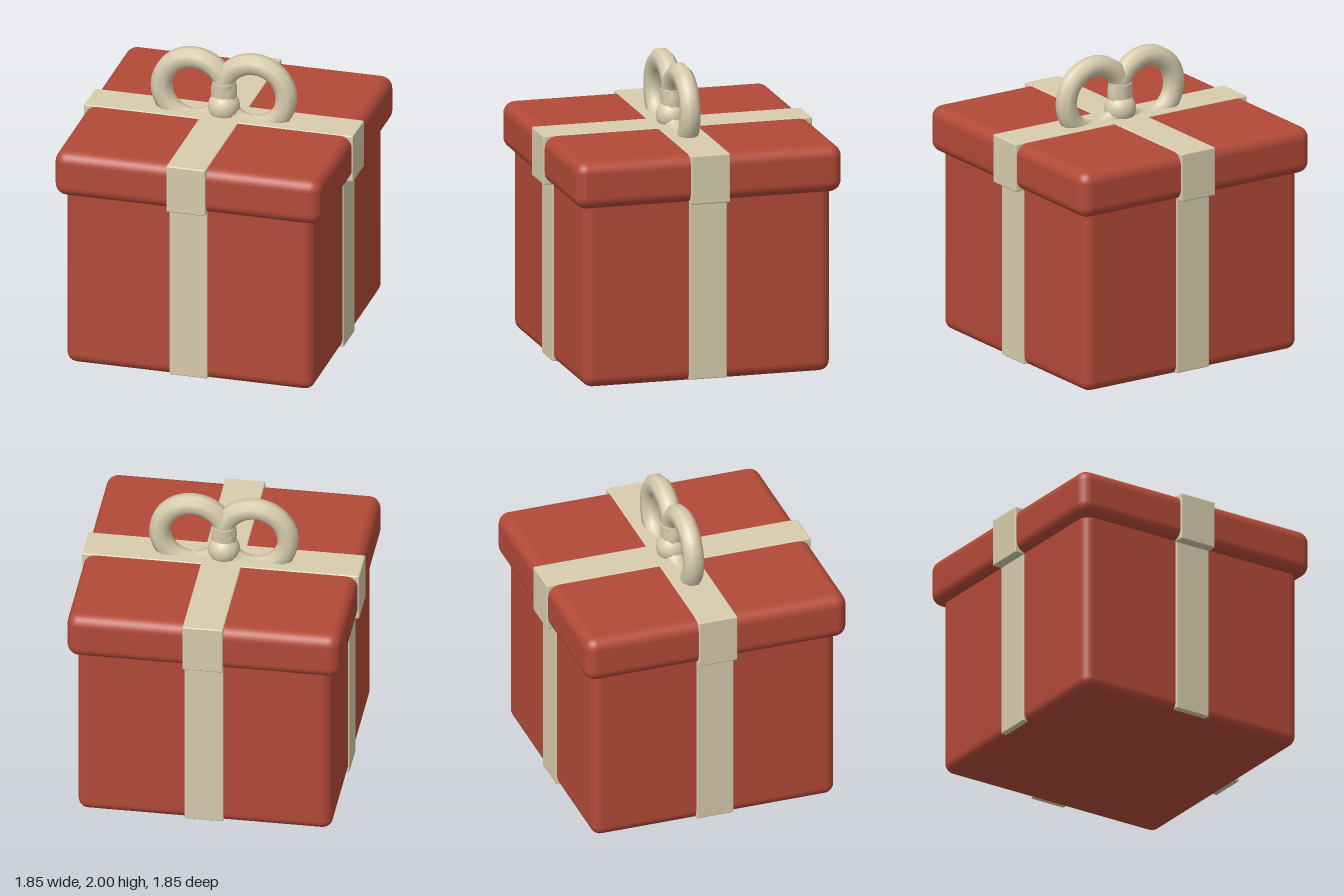
import * as THREE from 'three';
import { mergeVertices } from 'three/addons/utils/BufferGeometryUtils.js';
import { RoundedBoxGeometry } from 'three/addons/geometries/RoundedBoxGeometry.js';

export function createModel() {
  const model = new THREE.Group();
  model.name = 'giftBox';
  const paper = new THREE.MeshStandardMaterial({ name: 'red paper', color: 0xb34a38 });
  const ribbon = new THREE.MeshStandardMaterial({ name: 'cream ribbon', color: 0xd8ccae });

  function add(name, geometry, material, x = 0, y = 0, z = 0) {
    const mesh = new THREE.Mesh(geometry, material);
    mesh.name = name;
    mesh.position.set(x, y, z);
    model.add(mesh);
    return mesh;
  }
  // Rounded block spanning y0..y1, centred on x and z
  function block(name, w, d, y0, y1, radius, material) {
    return add(name, new RoundedBoxGeometry(w, y1 - y0, d, 4, radius), material, 0, (y0 + y1) / 2, 0);
  }

  // Box and overhanging lid
  block('boxBody', 1.7, 1.7, 0, 1.35, 0.07, paper);
  block('lid', 1.83, 1.83, 1.23, 1.55, 0.08, paper);

  // Crossing ribbon bands, running through the box and around the lid
  block('bodyBandSide', 1.72, 0.26, 0.014, 1.3, 0.008, ribbon);
  block('bodyBandFront', 0.26, 1.72, 0.014, 1.3, 0.008, ribbon);
  block('lidBandSide', 1.85, 0.27, 1.222, 1.556, 0.01, ribbon);
  block('lidBandFront', 0.27, 1.85, 1.222, 1.556, 0.01, ribbon);

  // Bow loops: rings with an eight-sided section, flat side outward
  const section = [];
  for (let i = 0; i <= 8; i++) {
    const a = (i + 0.5) * Math.PI / 4;
    section.push(new THREE.Vector2(0.222 + 0.073 * Math.cos(a), 0.07 * Math.sin(a)));
  }
  let loop = new THREE.LatheGeometry(section, 48);
  loop.deleteAttribute('uv');
  loop.deleteAttribute('normal');
  loop = mergeVertices(loop, 1e-5);
  loop.computeVertexNormals();
  loop.rotateX(Math.PI / 2);
  for (const side of [-1, 1]) {
    add(side < 0 ? 'bowLoopRight' : 'bowLoopLeft', loop, ribbon, side * 0.207, 1.71, 0);
  }

  // Knot and its short neck between the loops
  add('bowKnot', new THREE.SphereGeometry(0.107, 24, 16), ribbon, 0, 1.605, 0);
  add('bowNeck', new THREE.CylinderGeometry(0.078, 0.072, 0.13, 20), ribbon, 0, 1.715, 0);
  return model;
}
